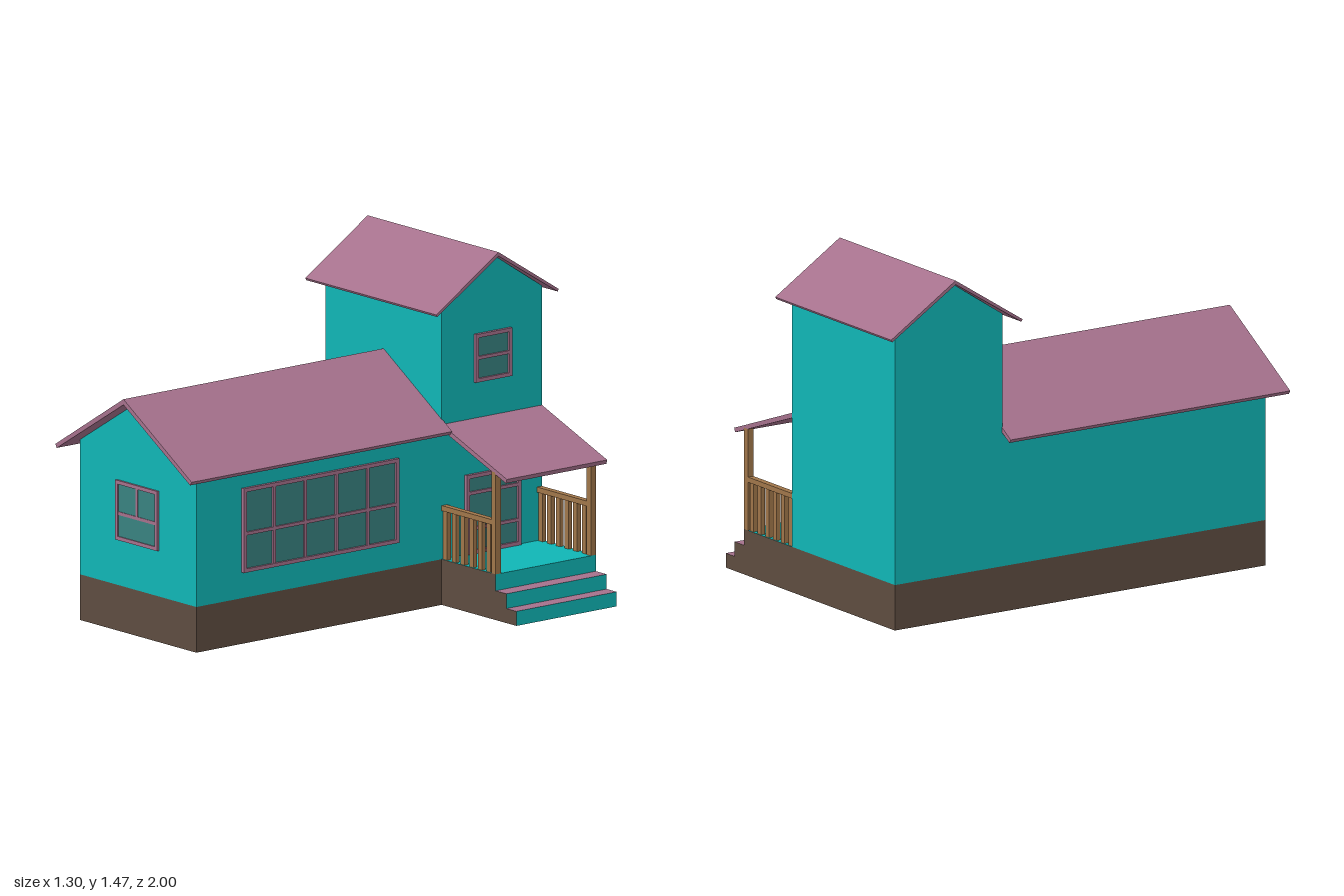
import * as THREE from 'three';

const mat = (name, color) => {
  const m = new THREE.MeshStandardMaterial({ color });
  m.name = name;
  return m;
};

export function createModel() {
  const wall = mat('teal wall', 0x10b6b6);
  const trim = mat('mauve roof and trim', 0xa5718c);
  const brown = mat('brown foundation', 0x5e4c40);
  const wood = mat('light wood', 0xa0764a);
  const glass = mat('window glass', 0x388280);

  const house = new THREE.Group();
  house.name = 'house';

  // box given by its extents on each axis
  function box(name, [x0, x1], [y0, y1], [z0, z1], material, parent = house) {
    const mesh = new THREE.Mesh(new THREE.BoxGeometry(x1 - x0, y1 - y0, z1 - z0), material);
    mesh.position.set((x0 + x1) / 2, (y0 + y1) / 2, (z0 + z1) / 2);
    mesh.name = name;
    parent.add(mesh);
    return mesh;
  }

  // profile extruded from one depth to another; alongX lays it along x, with profile x = -z
  function prism(name, points, from, to, material, alongX = false) {
    const shape = new THREE.Shape(points.map(([x, y]) => new THREE.Vector2(x, y)));
    const geo = new THREE.ExtrudeGeometry(shape, { depth: to - from, bevelEnabled: false });
    geo.translate(0, 0, from);
    if (alongX) geo.rotateY(Math.PI / 2);
    const mesh = new THREE.Mesh(geo, material);
    mesh.name = name;
    house.add(mesh);
  }

  // foundation and walls
  box('foundation', [-0.59, 0.165], [0, 0.195], [-0.947, 0.92], brown);
  prism('frontWingWalls', [[-0.59, 0.195], [0.165, 0.195], [0.165, 0.773], [-0.2125, 1.003], [-0.59, 0.773]],
    -0.405, 0.92, wall);
  prism('towerWalls', [[0.405, 0.195], [0.947, 0.195], [0.947, 1.28], [0.675, 1.457], [0.405, 1.28]],
    -0.59, 0.165, wall, true);

  // roofs
  prism('frontWingRoof', [[-0.655, 0.752], [-0.645, 0.737], [-0.2125, 1.001], [0.22, 0.737], [0.23, 0.752], [-0.2125, 1.025]],
    -0.408, 1, trim);
  prism('towerRoof', [[0.338, 1.257], [0.344, 1.247], [0.675, 1.456], [0.994, 1.256], [1, 1.266], [0.675, 1.473]],
    -0.64, 0.21, trim, true);
  prism('porchRoof', [[0.165, 0.77], [0.165, 0.748], [0.582, 0.596], [0.588, 0.614]], -0.947, -0.405, trim);

  // porch floor and steps: teal risers, mauve treads, brown sides
  const zPorch = [-0.947, -0.405];
  [['porchFloor', 0.165, 0.515, 0.195, wall], ['upperStep', 0.515, 0.585, 0.125, trim], ['lowerStep', 0.585, 0.65, 0.062, trim]]
    .forEach(([name, x0, x1, top, tread]) =>
      box(name, [x0, x1], [0, top], zPorch, [wall, brown, tread, brown, brown, brown]));

  // porch posts, handrails and balusters on both sides
  [-0.419, -0.933].forEach((z, side) => {
    const railing = new THREE.Group();
    railing.name = side ? 'backRailing' : 'frontRailing';
    house.add(railing);
    box('post', [0.487, 0.515], [0.195, 0.63], [z - 0.014, z + 0.014], wood, railing);
    box('handrail', [0.165, 0.49], [0.402, 0.424], [z - 0.014, z + 0.014], wood, railing);
    for (let i = 0; i < 6; i++) {
      const x = 0.183 + i * 0.0565;
      box('baluster', [x - 0.013, x + 0.013], [0.195, 0.404], [z - 0.01, z + 0.01], wood, railing);
    }
  });

  // window built facing +z around its own origin, bars given as [x0, x1, y0, y1]
  function makeWindow(name, w, h, depth, bars) {
    const g = new THREE.Group();
    g.name = name;
    const t = 0.016, X = w / 2, Y = h / 2;
    box('glass', [-X + 0.005, X - 0.005], [-Y + 0.005, Y - 0.005], [0, 0.005], glass, g);
    const frame = [[-X, X, Y - t, Y], [-X, X, -Y, -Y + t], [-X, -X + t, -Y + t, Y - t], [X - t, X, -Y + t, Y - t]];
    frame.forEach(([a, b, c, d]) => box('frame', [a, b], [c, d], [0, depth], trim, g));
    bars.forEach(([a, b, c, d]) => box('glazingBar', [a, b], [c, d], [0, depth - 0.002], trim, g));
    house.add(g);
    return g;
  }
  const acrossBar = (w, y) => [-w / 2 + 0.01, w / 2 - 0.01, y - 0.007, y + 0.007];
  const uprightBar = (x, y0, y1) => [x - 0.007, x + 0.007, y0, y1];
  const faceRight = (win, y, z) => {
    win.rotation.y = Math.PI / 2;
    win.position.set(0.165, y, z);
  };

  makeWindow('frontWindow', 0.272, 0.255, 0.01, [acrossBar(0.272, -0.013), uprightBar(0, -0.013, 0.12)])
    .position.set(-0.2145, 0.5175, 0.92);

  const columns = [-2, -1, 1, 2].map((i) => uprightBar((Math.abs(i) - 0.5) * Math.sign(i) * 0.169, -0.17, 0.17));
  faceRight(makeWindow('longWindow', 0.84, 0.36, 0.015, [acrossBar(0.84, -0.015), ...columns]), 0.485, 0.255);

  faceRight(makeWindow('towerWindow', 0.197, 0.206, 0.015, [acrossBar(0.197, 0)]), 1.027, -0.677);

  faceRight(makeWindow('porchDoor', 0.295, 0.34, 0.015,
    [acrossBar(0.295, 0.09), acrossBar(0.295, -0.062), uprightBar(0, -0.062, 0.09)]), 0.365, -0.677);

  return house;
}
